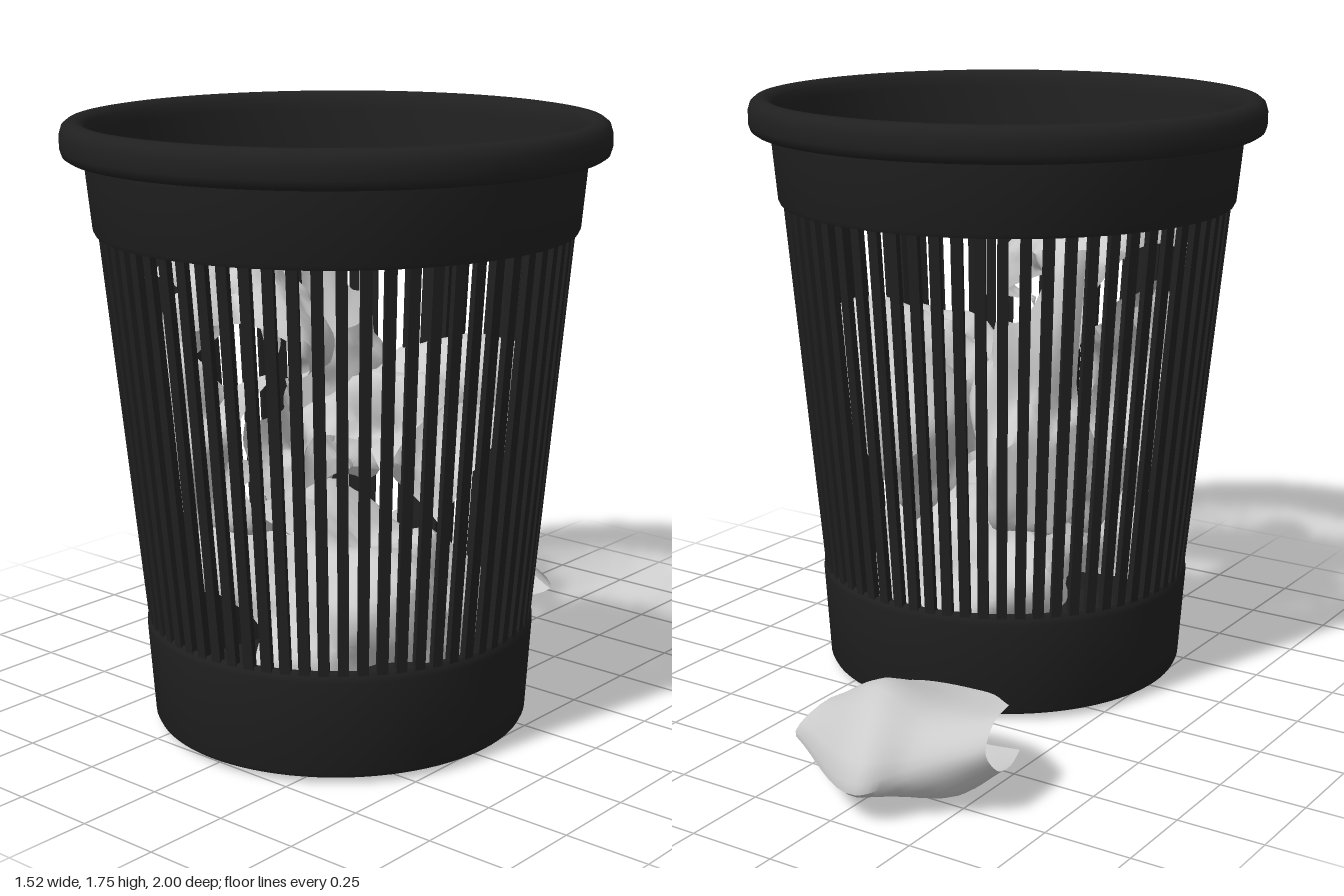
import * as THREE from 'three';
import { toCreasedNormals } from 'three/addons/utils/BufferGeometryUtils.js';

const CZ = 0.24; // basket axis
const plastic = new THREE.MeshStandardMaterial({ color: 0x202020 });
const paper = new THREE.MeshStandardMaterial({ color: 0xcccccc, side: THREE.DoubleSide });

function seeded(seed) {
  let s = seed * 7919 + 17;
  return () => ((s = (s * 16807) % 2147483647) / 2147483647);
}

function add(parent, name, geometry, material) {
  const mesh = new THREE.Mesh(geometry, material);
  mesh.name = name;
  parent.add(mesh);
  return mesh;
}

function ring(points) {
  const profile = points.map(([r, y]) => new THREE.Vector2(r, y));
  return toCreasedNormals(new THREE.LatheGeometry(profile, 96), 0.7);
}

// Square sheet wrapped into a loose ball, creased, fitted into a box inside the basket
function crumpledSheet(seed, min, max, rotation) {
  const rand = seeded(seed);
  for (let i = 0; i < 5; i++) rand();
  const creases = Array.from({ length: 7 }, (_, i) => ({
    dir: new THREE.Vector3(rand() - 0.5, rand() - 0.5, rand() - 0.5).normalize(),
    freq: 0.5 + i * 0.2,
    phase: rand(),
    amp: 0.42 / (1 + i * 0.4),
  }));
  const corners = [rand(), rand(), rand(), rand()];
  const geometry = new THREE.PlaneGeometry(2, 2, 36, 36);
  const pos = geometry.attributes.position;
  const p = new THREE.Vector3();
  for (let i = 0; i < pos.count; i++) {
    const u = pos.getX(i), v = pos.getY(i);
    const rho = Math.hypot(u, v), a = Math.atan2(v, u), phi = rho * 1.4;
    p.set(Math.sin(phi) * Math.cos(a), -Math.cos(phi), Math.sin(phi) * Math.sin(a));
    let r = 1;
    for (const c of creases) {
      const t = p.dot(c.dir) * c.freq + c.phase + 10;
      r += c.amp * (Math.abs((t % 1) * 2 - 1) - 0.5);
    }
    const corner = corners[(u > 0 ? 1 : 0) + (v > 0 ? 2 : 0)];
    r *= 1 + 0.35 * corner * (u * v) ** 2;
    pos.setXYZ(i, p.x * r, p.y * r, p.z * r);
  }
  geometry.applyMatrix4(new THREE.Matrix4().makeRotationFromEuler(new THREE.Euler(...rotation)));
  geometry.computeBoundingBox();
  const box = geometry.boundingBox, size = box.getSize(new THREE.Vector3());
  const lo = new THREE.Vector3(...min), span = new THREE.Vector3(...max).sub(lo);
  for (let i = 0; i < pos.count; i++) {
    p.fromBufferAttribute(pos, i).sub(box.min).divide(size).multiply(span).add(lo);
    // stay inside the tapered wall
    const d = Math.hypot(p.x, p.z - CZ), k = Math.min(1, (0.505 + 0.085 * p.y) / d);
    pos.setXYZ(i, p.x * k, p.y, CZ + (p.z - CZ) * k);
  }
  return toCreasedNormals(geometry, 0.8);
}

// Sheet folded over itself, blended through cross-sections running left to right
function foldedSheet(sections, n) {
  const smooth = (pts) => new THREE.CatmullRomCurve3(pts, false, 'centripetal');
  const rows = sections.map((s) => smooth(s.map((q) => new THREE.Vector3(...q))));
  const geometry = new THREE.PlaneGeometry(1, 1, n, n);
  const pos = geometry.attributes.position;
  for (let i = 0; i <= n; i++) {
    const across = smooth(rows.map((row) => row.getPoint(i / n)));
    for (let j = 0; j <= n; j++) {
      const q = across.getPoint(j / n);
      pos.setXYZ(i * (n + 1) + j, q.x, Math.max(0, q.y), q.z);
    }
  }
  return toCreasedNormals(geometry, 0.8);
}

export function createModel() {
  const model = new THREE.Group();
  model.name = 'wasteBasket';
  const basket = new THREE.Group();
  basket.name = 'basket';
  basket.position.z = CZ;
  model.add(basket);

  // Solid base cup with floor
  add(basket, 'baseCup', ring([
    [0, 0.015], [0.525, 0.015], [0.537, 0.02], [0.543, 0.032], [0.561, 0.3], [0.56, 0.315],
    [0.552, 0.328], [0.536, 0.328], [0.52, 0.045], [0, 0.045],
  ]), plastic);

  // Upper band and rolled rim, one continuous inner wall
  add(basket, 'upperBandAndRim', ring([
    [0.655, 1.44], [0.672, 1.44], [0.678, 1.452], [0.697, 1.65], [0.742, 1.648], [0.754, 1.656],
    [0.76, 1.675], [0.76, 1.712], [0.753, 1.735], [0.738, 1.747], [0.72, 1.75], [0.702, 1.744],
    [0.69, 1.73], [0.682, 1.7], [0.655, 1.44],
  ]), plastic);

  // Slanted wall slats
  const slats = new THREE.Group();
  slats.name = 'slats';
  basket.add(slats);
  const count = 66, r0 = 0.545, r1 = 0.655, y0 = 0.3, y1 = 1.46;
  const slat = new THREE.BoxGeometry(0.03, Math.hypot(r1 - r0, y1 - y0), 0.02);
  slat.rotateX(Math.atan2(r1 - r0, y1 - y0));
  slat.translate(0, (y0 + y1) / 2, (r0 + r1) / 2);
  for (let i = 0; i < count; i++) {
    add(slats, 'slat', slat, plastic).rotation.y = ((i + 0.75) / count) * Math.PI * 2;
  }

  // Crumpled paper in the basket: seed, box min, box max, rotation
  const sheets = [
    ['paperBottom', 3, [-0.53, 0.06, -0.24], [0.5, 0.66, 0.76], [2.8, 0.4, 0.2]],
    ['paperLeft', 8, [-0.57, 0.42, 0.1], [0.12, 1.18, 0.8], [-1.3, 0, -0.5]],
    ['paperRight', 5, [-0.14, 0.5, -0.31], [0.48, 1.14, 0.52], [2.9, 0.3, -0.5]],
    ['paperBackLeft', 11, [-0.5, 0.5, -0.28], [-0.12, 1.38, 0.32], [0.5, 1.2, 0.5]],
    ['paperTop', 14, [-0.42, 1.0, 0.28], [0.25, 1.44, 0.87], [2.7, 0.5, 0.3]],
  ];
  for (const [name, ...args] of sheets) add(model, name, crumpledSheet(...args), paper);

  // Loose paper on the floor behind, open towards the basket
  add(model, 'paperOnFloor', foldedSheet([
    [[-0.58, 0.13, -0.6], [-0.6, 0.12, -0.68], [-0.61, 0.14, -0.76],
      [-0.6, 0.2, -0.8], [-0.59, 0.26, -0.75], [-0.57, 0.27, -0.64]],
    [[-0.36, 0.05, -0.47], [-0.42, 0, -0.62], [-0.46, 0.04, -0.8],
      [-0.42, 0.13, -0.9], [-0.42, 0.24, -0.78], [-0.4, 0.22, -0.5]],
    [[-0.2, 0.03, -0.4], [-0.22, 0, -0.6], [-0.25, 0.03, -0.82],
      [-0.33, 0.1, -1], [-0.24, 0.29, -0.76], [-0.15, 0.2, -0.52]],
    [[0, 0.04, -0.38], [-0.02, 0.02, -0.55], [-0.08, 0.05, -0.7],
      [0.02, 0.1, -0.8], [-0.05, 0.2, -0.72], [-0.1, 0.17, -0.6]],
  ], 24), paper);

  return model;
}
